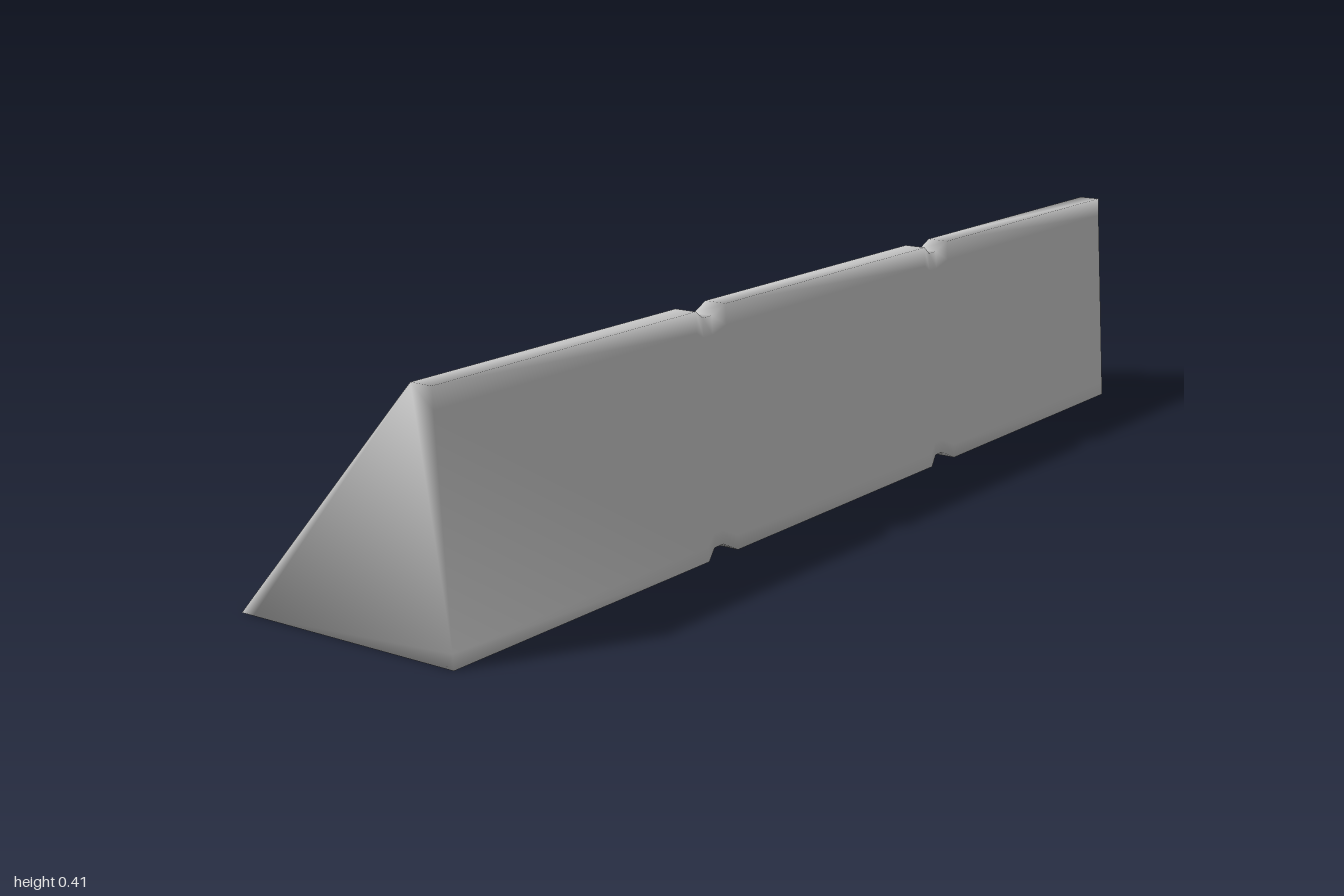
import * as THREE from 'three';

// Cross-section, counter-clockwise seen from the front, with support points near the corners
const profile = [
  [-0.215, 0], [-0.19, 0], [0.2, 0], [0.215, 0], [0.2135, 0.025],
  [0.192, 0.375], [0.19, 0.41], [0.15, 0.41], [0.12, 0.377], [-0.193, 0.025],
].map(([x, y]) => new THREE.Vector2(x, y));

// Stations along the bar: [z, groove amount]
const groove = (z) => [[z - 0.04, 0], [z - 0.012, 1], [z + 0.012, 1], [z + 0.04, 0]];
const stations = [[-1, 0], ...groove(-0.35), ...groove(0.35), [1, 0]];

function barGeometry() {
  const n = profile.length;
  const positions = [];
  const indices = [];

  // Rings, drawn in towards the middle of the section at each groove
  for (const [z, g] of stations) {
    for (const p of profile) {
      positions.push(
        0.12 + (p.x - 0.12) * (1 - 0.1 * g),
        0.2 + (p.y - 0.2) * (1 - 0.075 * g),
        z,
      );
    }
  }

  // Long sides
  for (let i = 0; i < stations.length - 1; i++) {
    for (let j = 0; j < n; j++) {
      const a = i * n + j;
      const b = i * n + ((j + 1) % n);
      indices.push(a, b, b + n, a, b + n, a + n);
    }
  }

  // Flat ends share the ring vertices, so the shading runs softly over the edge
  const last = (stations.length - 1) * n;
  for (const [a, b, c] of THREE.ShapeUtils.triangulateShape(profile, [])) {
    indices.push(last + a, last + b, last + c, c, b, a);
  }

  const geometry = new THREE.BufferGeometry();
  geometry.setAttribute('position', new THREE.Float32BufferAttribute(positions, 3));
  geometry.setIndex(indices);
  geometry.computeVertexNormals();
  return geometry;
}

export function createModel() {
  const model = new THREE.Group();
  model.name = 'wedgeBar';
  const bar = new THREE.Mesh(barGeometry(), new THREE.MeshStandardMaterial({ color: 0xcccccc }));
  bar.name = 'groovedBar';
  model.add(bar);
  return model;
}
